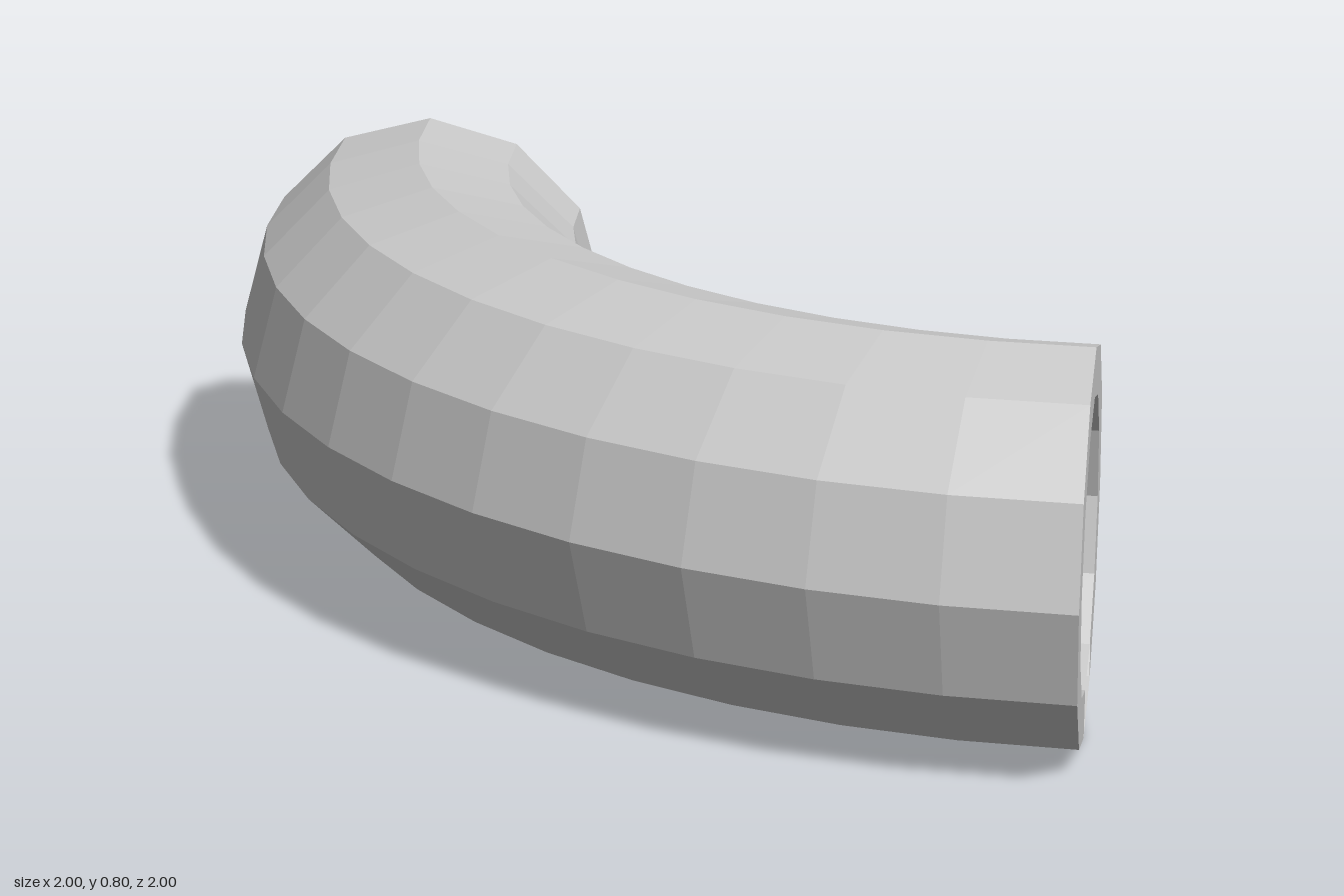
import * as THREE from 'three';

const BEND = 1.6, OUTER = 0.4, INNER = 0.3, SIDES = 12, STEPS = 12;

export function createModel() {
  const group = new THREE.Group();
  group.name = 'pipeElbow';
  const material = new THREE.MeshStandardMaterial({
    color: 0xcccccc, flatShading: true, side: THREE.DoubleSide,
  });

  function add(name, geometry, x, y, z) {
    const mesh = new THREE.Mesh(geometry, material);
    mesh.name = name;
    mesh.position.set(x, y, z);
    group.add(mesh);
  }

  // Quarter bend lying flat, swept from the +z side round to the -x side
  const bend = (radius) => new THREE.TorusGeometry(BEND, radius, SIDES, STEPS, Math.PI / 2)
    .rotateZ(Math.PI / 2)
    .rotateX(Math.PI / 2);

  add('outerWall', bend(OUTER), 1, OUTER, -1);
  // Mirrored in y so that its faces point into the bore
  add('innerWall', bend(INNER).scale(1, -1, 1), 1, OUTER, -1);

  // Flat rim at the back end
  add('backRim', new THREE.RingGeometry(INNER, OUTER, SIDES, 1).rotateY(Math.PI),
    1 - BEND, OUTER, -1);

  // Rim at the left end, with one open sector at the bottom
  const sector = 2 * Math.PI / SIDES;
  add('leftRim',
    new THREE.RingGeometry(INNER, OUTER, SIDES - 1, 1, -Math.PI / 2 + sector, (SIDES - 1) * sector)
      .rotateY(Math.PI / 2),
    1, OUTER, BEND - 1);

  return group;
}
